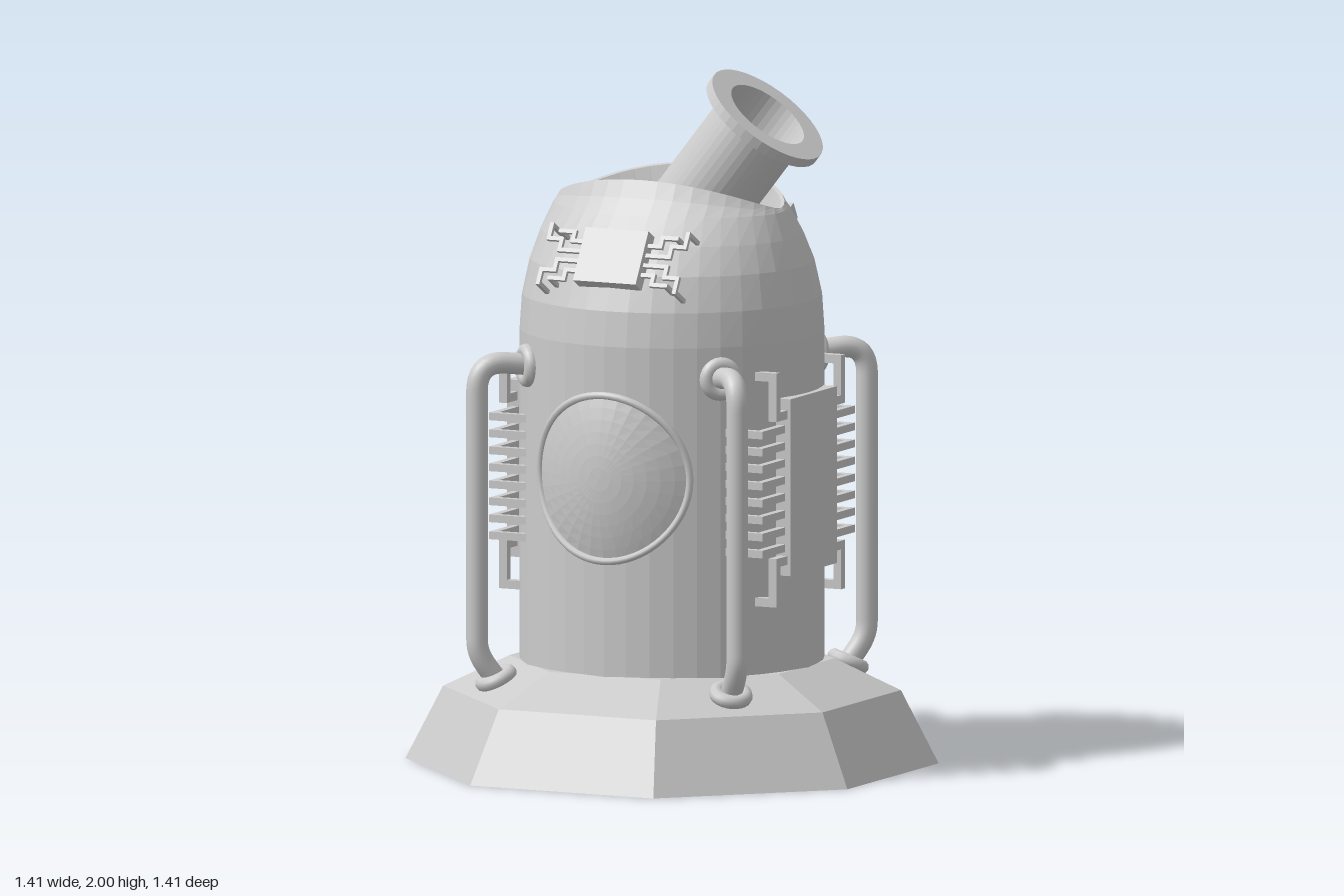
import * as THREE from 'three';

const V = (x, y, z) => new THREE.Vector3(x, y, z);
const flat = new THREE.MeshStandardMaterial({ color: 0xcccccc, flatShading: true, side: THREE.DoubleSide });
const smooth = new THREE.MeshStandardMaterial({ color: 0xcccccc });

function add(parent, name, geometry, material = flat) {
  const mesh = new THREE.Mesh(geometry, material);
  mesh.name = name;
  parent.add(mesh);
  return mesh;
}

// Skin over closed rings; point(i, angle) gives a position on ring i
function loft(rings, sides, point) {
  const pos = [], index = [];
  for (let i = 0; i < rings; i++) {
    for (let j = 0; j < sides; j++) {
      pos.push(...point(i, (j / sides) * Math.PI * 2).toArray());
      if (i === rings - 1) continue;
      const a = i * sides + j, b = i * sides + ((j + 1) % sides);
      index.push(a, a + sides, b, b, a + sides, b + sides);
    }
  }
  const g = new THREE.BufferGeometry();
  g.setAttribute('position', new THREE.Float32BufferAttribute(pos, 3));
  g.setIndex(index);
  g.computeVertexNormals();
  return g;
}

// Square bar following axis-aligned points
function bar(parent, name, points, t) {
  for (let i = 1; i < points.length; i++) {
    const a = points[i - 1], b = points[i];
    const s = b.clone().sub(a);
    add(parent, name, new THREE.BoxGeometry(Math.abs(s.x) + t, Math.abs(s.y) + t, Math.abs(s.z) + t))
      .position.copy(a).add(b).multiplyScalar(0.5);
  }
}

const R = 0.435; // body radius

function makeBody(root) {
  // [x radius, z radius, y, extra height at front and back]
  const rings = [
    [R, R, 0.28, 0], [R, R, 1.25, 0], [0.43, 0.422, 1.35, 0], [0.411, 0.388, 1.45, 0],
    [0.385, 0.335, 1.53, 0], [0.354, 0.265, 1.605, 0], [0.35, 0.225, 1.61, 0.04],
    [0.345, 0.2, 1.615, 0.085], [0.335, 0.188, 1.612, 0.085], [0.24, 0.15, 1.43, 0], [0, 0, 1.43, 0],
  ];
  add(root, 'body', loft(rings.length, 40, (i, a) => {
    const [rx, rz, y, lift] = rings[i];
    return V(rx * Math.cos(a), y + lift * Math.abs(Math.sin(a)) ** 1.5, rz * Math.sin(a));
  }));
}

// Domed round window wrapped on the body, with its frame
function makeWindow() {
  const g = new THREE.Group();
  g.name = 'window';
  const on = (s, a, bulge) => {
    const x = s * Math.cos(a);
    return V(x, 0.87 + s * Math.sin(a), Math.sqrt(R * R - x * x) + bulge);
  };
  add(g, 'windowLens', loft(8, 32, (i, a) => on(0.24 * i / 7, a, 0.035 * (1 - (i / 7) ** 2))));
  const pts = Array.from({ length: 32 }, (_, k) => on(0.239, k * Math.PI / 16, 0.002));
  add(g, 'windowFrame', new THREE.TubeGeometry(new THREE.CatmullRomCurve3(pts, true), 64, 0.011, 8, true), smooth);
  return g;
}

// Large side unit facing +z, with legs bent back to the body
function makeSideUnit() {
  const g = new THREE.Group();
  g.name = 'sideUnit';
  add(g, 'unitCase', new THREE.BoxGeometry(0.3, 0.51, 0.075)).position.set(0, 0.835, 0.4145);
  for (const s of [-1, 1]) {
    for (let k = 0; k < 8; k++) {
      const y = 0.66 + k * 0.049;
      bar(g, 'unitLeg', [V(s * 0.14, y, 0.425), V(s * 0.285, y, 0.425), V(s * 0.285, y, 0.31)], 0.022);
    }
    for (const d of [-1, 1]) {
      const y = 0.835 + d * 0.21, end = 0.835 + d * 0.325;
      bar(g, 'unitBracket', [V(s * 0.14, y, 0.43), V(s * 0.207, y, 0.43),
        V(s * 0.207, end, 0.43), V(s * 0.207, end, 0.375)], 0.025);
    }
  }
  return g;
}

// Small unit on the shoulder facing +z, with stepped legs
function makeShoulderUnit() {
  const holder = new THREE.Group(), g = new THREE.Group();
  holder.name = 'shoulderUnit';
  holder.add(g);
  g.position.set(0, 1.495, 0.373);
  g.rotation.x = -Math.PI / 6;
  add(g, 'shoulderCase', new THREE.BoxGeometry(0.2, 0.165, 0.045));
  for (const s of [-1, 1]) for (const d of [-1, 1]) {
    const path = (p) => p.map(([x, y, z]) => V(s * x, d * y, z));
    bar(g, 'shoulderLeg', path([[0.09, 0.045, 0], [0.14, 0.045, 0], [0.14, 0.073, 0],
      [0.185, 0.073, 0], [0.185, 0.073, -0.05]]), 0.012);
    bar(g, 'shoulderLeg', path([[0.09, 0.015, 0], [0.175, 0.015, 0], [0.175, 0.048, 0],
      [0.217, 0.048, 0], [0.217, 0.09, 0], [0.217, 0.09, -0.06]]), 0.012);
  }
  return holder;
}

// Bent pipe in the yz plane with a collar at each end
function makePipe() {
  const g = new THREE.Group();
  g.name = 'sidePipe';
  const path = new THREE.CurvePath();
  const p = [V(0, 1.16, 0.41), V(0, 1.17, 0.5), V(0, 1.18, 0.587), V(0, 1.09, 0.587),
    V(0, 0.38, 0.587), V(0, 0.31, 0.587), V(0, 0.29, 0.54), V(0, 0.235, 0.518)];
  path.add(new THREE.LineCurve3(p[0], p[1]));
  path.add(new THREE.QuadraticBezierCurve3(p[1], p[2], p[3]));
  path.add(new THREE.LineCurve3(p[3], p[4]));
  path.add(new THREE.CubicBezierCurve3(p[4], p[5], p[6], p[7]));
  add(g, 'pipe', new THREE.TubeGeometry(path, 80, 0.031, 14), smooth);
  const collar = () => new THREE.TorusGeometry(0.042, 0.021, 10, 24);
  add(g, 'upperCollar', collar(), smooth).position.set(0, 1.16, 0.437);
  const foot = add(g, 'lowerCollar', collar(), smooth);
  foot.position.set(0, 0.263, 0.53);
  foot.rotation.x = -Math.PI / 2 + 0.42;
  return g;
}

export function createModel() {
  const root = new THREE.Group();
  root.name = 'tower';

  // Octagonal plinth
  const lower = add(root, 'baseLower', new THREE.CylinderGeometry(0.655, 0.763, 0.21, 8));
  lower.position.y = 0.105;
  const upper = add(root, 'baseUpper', new THREE.CylinderGeometry(0.465, 0.655, 0.09, 8));
  upper.position.y = 0.255;
  lower.rotation.y = upper.rotation.y = Math.PI / 8;

  makeBody(root);

  // Tilted spout with flange, measured down from its mouth
  const profile = [[0.135, -0.68], [0.135, -0.03], [0.19, -0.03], [0.19, 0], [0.125, 0], [0.125, -0.68]];
  const spout = add(root, 'spout', new THREE.LatheGeometry(profile.map(([x, y]) => new THREE.Vector2(x, y)), 40));
  spout.position.set(0.305, 1.883, 0);
  spout.rotation.z = -0.67;

  // Parts repeated around the body
  for (let k = 0; k < 4; k++) {
    const angle = k * Math.PI / 2;
    const parts = k % 2 ? [makeSideUnit()] : [makeWindow(), makeShoulderUnit()];
    for (const part of parts) {
      part.rotation.y = angle;
      root.add(part);
    }
    const pipe = makePipe();
    pipe.rotation.y = angle + Math.PI / 4;
    root.add(pipe);
  }
  return root;
}
